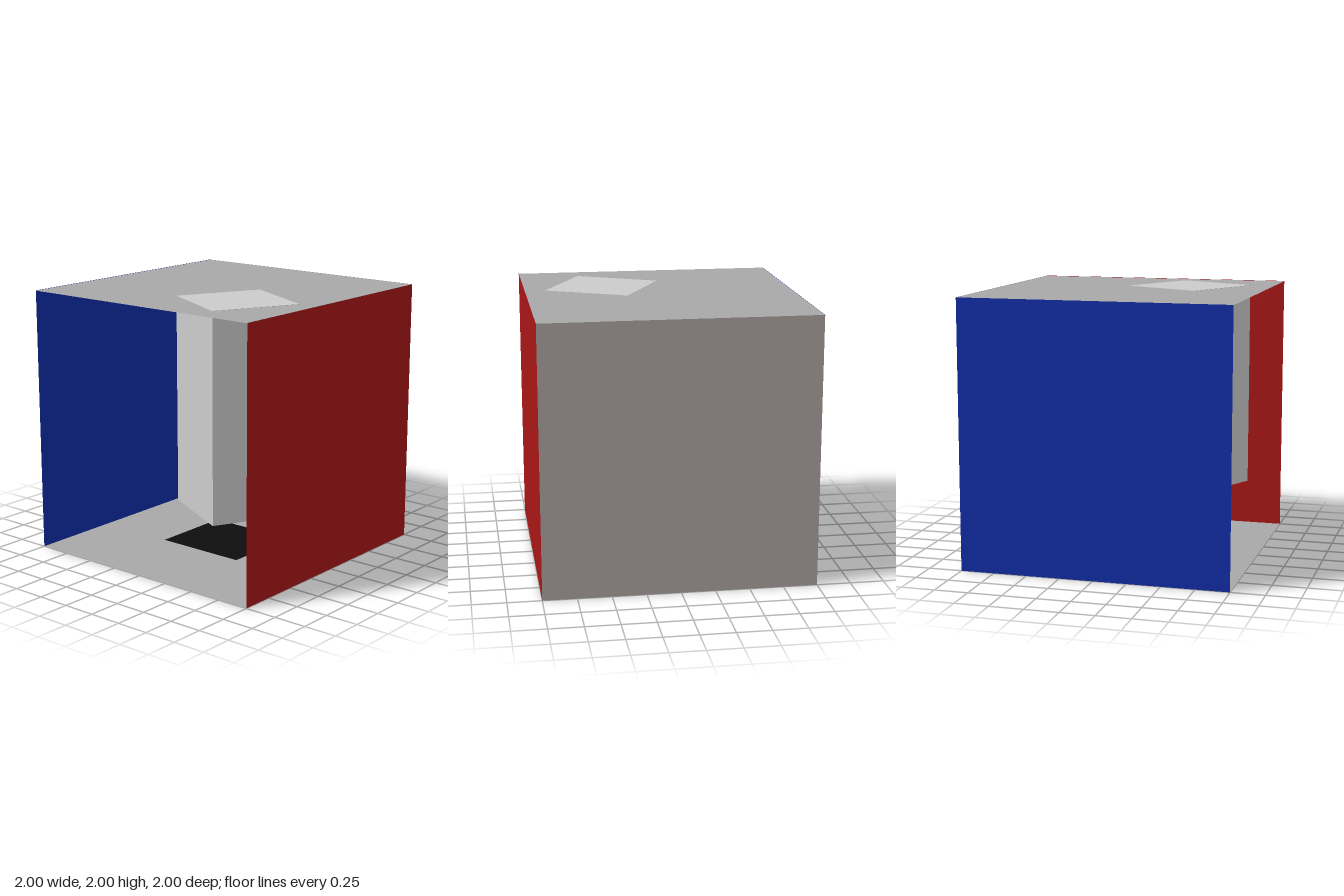
import * as THREE from 'three';

const paint = (color) => new THREE.MeshStandardMaterial({ color, side: THREE.DoubleSide });

// Thin square or rectangular sheet, turned to face a wall, floor or ceiling
function sheet(name, w, h, material, [x, y, z], rx = 0, ry = 0) {
  const mesh = new THREE.Mesh(new THREE.PlaneGeometry(w, h), material);
  mesh.name = name;
  mesh.position.set(x, y, z);
  mesh.rotation.set(rx, ry, 0);
  return mesh;
}

export function createModel() {
  const model = new THREE.Group();
  model.name = 'openRoom';
  const grey = paint(0xa8a8a8);
  const quarter = Math.PI / 2;

  // Room shell, open at the front
  model.add(
    sheet('floor', 2, 2, grey, [0, 0, 0], -quarter),
    sheet('ceiling', 2, 2, grey, [0, 1.998, 0], quarter),
    sheet('backWall', 2, 2, paint(0xa89f9e), [0, 1, -1]),
    sheet('leftWall', 2, 2, paint(0xa81616), [1, 1, 0], 0, -quarter),
    sheet('rightWall', 2, 2, paint(0x0f2ca4), [-1, 1, 0], 0, quarter)
  );

  // Dark panel lying just above the floor
  model.add(sheet('floorPanel', 0.72, 0.64, paint(0x0e0e0e), [0, 0.01, 0], -quarter));

  // Square block hanging from the ceiling, turned about its axis
  const block = new THREE.Mesh(
    new THREE.BoxGeometry(0.665, 1.55, 0.665),
    new THREE.MeshStandardMaterial({ color: 0xcccccc })
  );
  block.name = 'hangingBlock';
  block.position.set(0.4, 1.225, 0.366);
  block.rotation.y = -0.472;
  model.add(block);

  return model;
}
